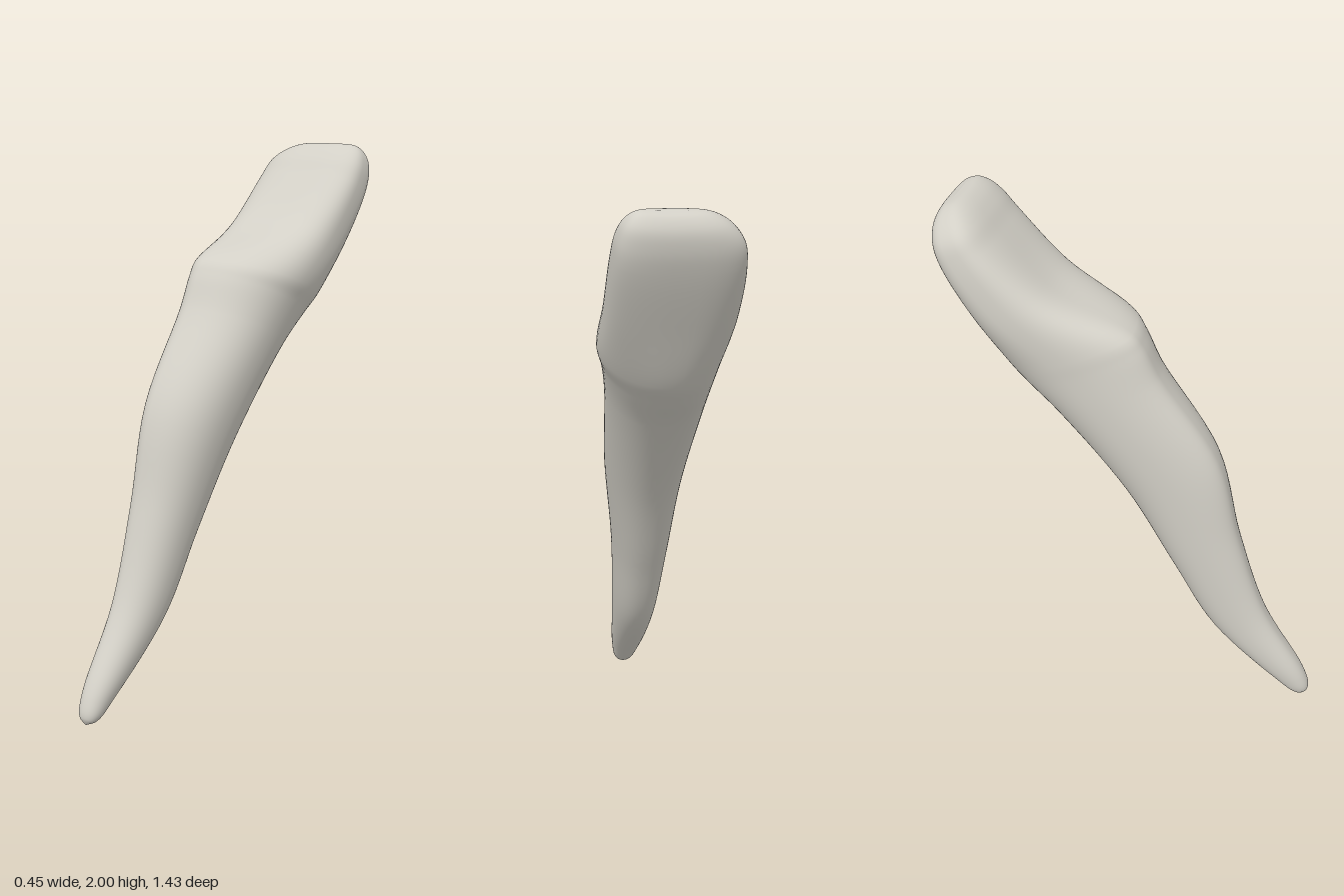
import * as THREE from 'three';

// Slanted sections from root tip to biting edge: [front z, front y, back z, back y, x min, x max]
const SECTIONS = [
  [0.70, 0.005, 0.70, 0.005, -0.1, -0.1],
  [0.715, 0.04, 0.66, 0.012, -0.13, -0.065],
  [0.69, 0.12, 0.57, 0.08, -0.15, -0.04],
  [0.52, 0.40, 0.31, 0.315, -0.165, 0.005],
  [0.40, 0.75, 0.14, 0.60, -0.18, 0.04],
  [0.305, 1.11, -0.05, 0.92, -0.195, 0.095],
  [0.09, 1.43, -0.31, 1.24, -0.21, 0.145],
  [0.03, 1.55, -0.42, 1.345, -0.215, 0.175],
  [-0.01, 1.60, -0.48, 1.41, -0.22, 0.2],
  [-0.28, 1.725, -0.585, 1.60, -0.228, 0.217],
  [-0.48, 1.89, -0.68, 1.79, -0.215, 0.226],
  [-0.535, 1.95, -0.708, 1.87, -0.195, 0.22],
  [-0.58, 1.985, -0.712, 1.93, -0.145, 0.2],
  [-0.62, 2.0, -0.69, 1.975, -0.08, 0.165],
  [-0.655, 1.995, -0.655, 1.995, 0, 0.1],
];
const SIDES = 64;
const STEPS = (SECTIONS.length - 1) * 7;
const { lerp, smoothstep } = THREE.MathUtils;

// Point on one section's outline at the given angle; 0 faces front, a quarter turn faces +x
function outlinePoint([fz, fy, bz, by, x0, x1], angle) {
  // The root is oval with an off-centre front ridge; the crown is boxier, even and hollowed behind its neck
  const crown = smoothstep(by, 1.4, 1.75);
  const roundness = lerp(0.92, 0.65, crown);
  const hollow = 0.4 * crown * (1 - crown);
  const centre = (x0 + x1) / 2;
  const ridge = lerp(-0.1, centre, crown);

  const bend = (v) => Math.sign(v) * Math.abs(v) ** roundness;
  const across = bend(Math.sin(angle));
  let depth = bend(Math.cos(angle));
  if (depth > 0) depth -= hollow * (1 - across * across) ** 2;
  const k = (depth + 1) / 2;
  const middle = lerp(centre, ridge, k);
  const x = middle + across * (across > 0 ? x1 - middle : middle - x0);
  return new THREE.Vector3(x, lerp(by, fy, k), lerp(bz, fz, k));
}

export function createModel() {
  // Smooth lengthwise curves through matching points of all sections
  const columns = [];
  for (let j = 0; j < SIDES; j++) {
    const angle = (j / SIDES) * Math.PI * 2;
    const points = SECTIONS.map((section) => outlinePoint(section, angle));
    columns.push(new THREE.CatmullRomCurve3(points).getPoints(STEPS));
  }

  // Skin over neighbouring curves
  const positions = [];
  const indices = [];
  for (let i = 0; i <= STEPS; i++) {
    for (const column of columns) positions.push(...column[i].toArray());
    if (i === STEPS) break;
    for (let j = 0; j < SIDES; j++) {
      const a = i * SIDES + j;
      const b = i * SIDES + ((j + 1) % SIDES);
      indices.push(a, b, b + SIDES, a, b + SIDES, a + SIDES);
    }
  }
  const geometry = new THREE.BufferGeometry();
  geometry.setAttribute('position', new THREE.Float32BufferAttribute(positions, 3));
  geometry.setIndex(indices);
  geometry.computeVertexNormals();

  const ivory = new THREE.MeshStandardMaterial({ color: 0xd2cfc6 });
  ivory.name = 'ivory';
  const tooth = new THREE.Mesh(geometry, ivory);
  tooth.name = 'incisorTooth';

  const model = new THREE.Group();
  model.name = 'tooth';
  model.add(tooth);
  return model;
}
